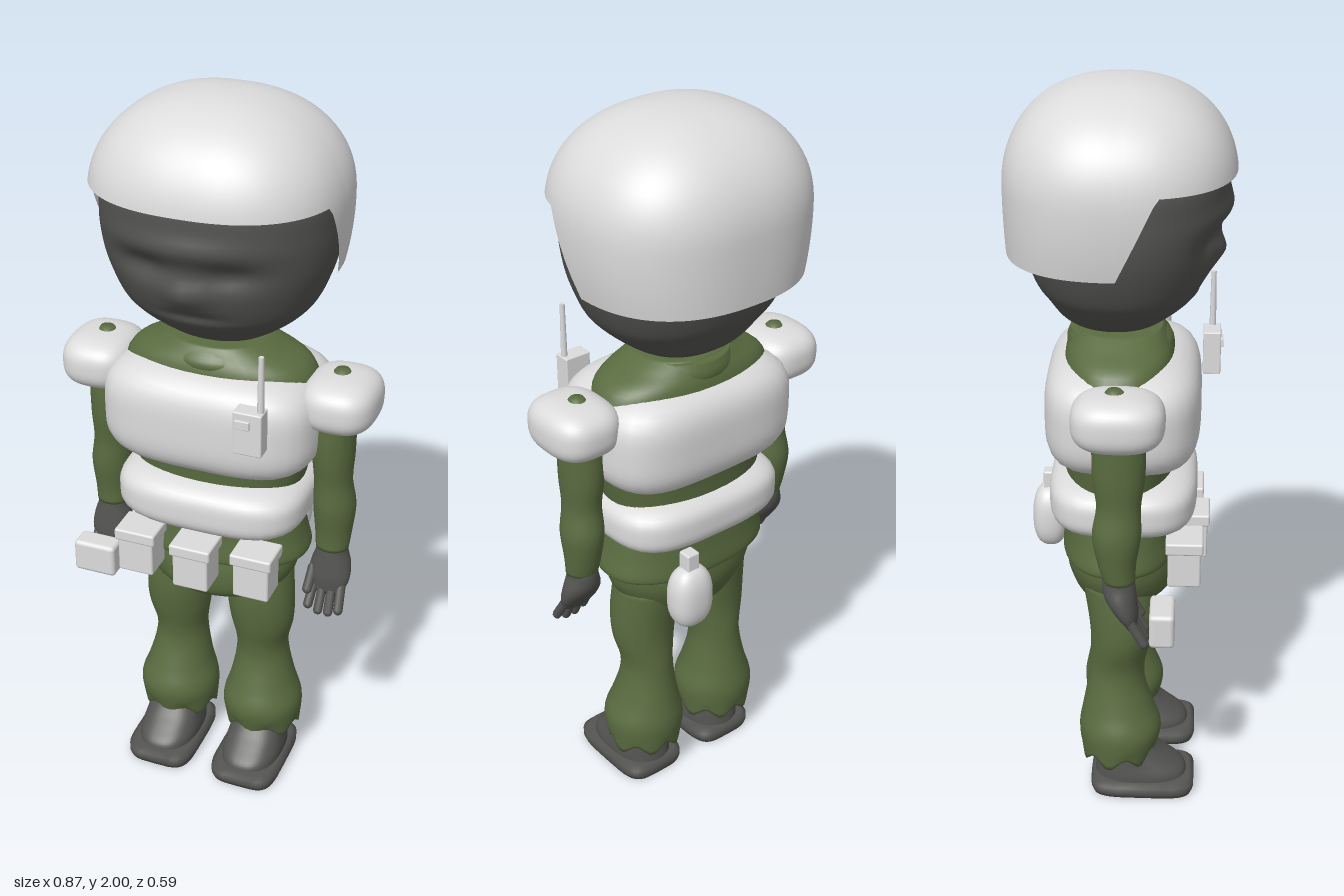
import * as THREE from 'three';
import { mergeVertices } from 'three/addons/utils/BufferGeometryUtils.js';
import { RoundedBoxGeometry } from 'three/addons/geometries/RoundedBoxGeometry.js';

const mat = (name, color) => {
  const m = new THREE.MeshStandardMaterial({ color });
  m.name = name;
  return m;
};
const power = (v, n) => Math.sign(v) * Math.abs(v) ** (2 / n);

// Closed smooth body through rings [y, radiusX, radiusZ, centreX, centreZ]; n squares off the section
function loft(rings, { n = 2, seg = 40, steps = 5, smooth = true } = {}) {
  const size = new THREE.CatmullRomCurve3(rings.map(r => new THREE.Vector3(r[0], r[1], r[2])), false, 'catmullrom', 0.5);
  const mid = new THREE.CatmullRomCurve3(rings.map(r => new THREE.Vector3(r[3] || 0, r[4] || 0, 0)), false, 'catmullrom', 0.5);
  const rows = (rings.length - 1) * (smooth ? steps : 1), pos = [], idx = [];
  for (let i = 0; i <= rows; i++) {
    const s = size.getPoint(i / rows), c = mid.getPoint(i / rows);
    for (let j = 0; j < seg; j++) {
      const a = j / seg * Math.PI * 2;
      pos.push(c.x + s.y * power(Math.cos(a), n), s.x, c.y + s.z * power(Math.sin(a), n));
    }
  }
  const first = rings[0], last = rings[rings.length - 1], base = (rows + 1) * seg;
  pos.push(first[3] || 0, first[0], first[4] || 0, last[3] || 0, last[0], last[4] || 0);
  for (let j = 0; j < seg; j++) {
    const k = (j + 1) % seg;
    for (let i = 0; i < rows; i++) {
      const a = i * seg + j, b = i * seg + k;
      idx.push(a, a + seg, b, b, a + seg, b + seg);
    }
    idx.push(base, j, k, base + 1, rows * seg + k, rows * seg + j);
  }
  return finish(pos, idx);
}

function finish(pos, idx) {
  const g = new THREE.BufferGeometry();
  g.setAttribute('position', new THREE.Float32BufferAttribute(pos, 3));
  g.setIndex(idx);
  g.computeVertexNormals();
  return g;
}

// Move every vertex by a rule
function reshape(g, rule) {
  const p = g.attributes.position, v = new THREE.Vector3();
  for (let i = 0; i < p.count; i++) {
    rule(v.fromBufferAttribute(p, i));
    p.setXYZ(i, v.x, v.y, v.z);
  }
  g.computeVertexNormals();
  return g;
}

// Cushion shape: a sphere swollen towards a box
function cushion(rx, ry, rz, p) {
  let g = new THREE.SphereGeometry(1, 48, 32);
  g.deleteAttribute('uv');
  g.deleteAttribute('normal');
  g = mergeVertices(g, 1e-4);
  return reshape(g, v => {
    const k = (Math.abs(v.x) ** p + Math.abs(v.y) ** p + Math.abs(v.z) ** p) ** (-1 / p);
    v.set(v.x * k * rx, v.y * k * ry, v.z * k * rz);
  });
}

// Helmet shell: low at the back and sides, cut away over the face
function helmetShell() {
  const seg = 128, rows = 28, pos = [], idx = [];
  for (let i = 0; i <= rows; i++) for (let j = 0; j < seg; j++) {
    const a = j / seg * Math.PI * 2, x = 0.325 * power(Math.cos(a), 2.4), z = 0.296 * power(Math.sin(a), 2.4);
    const edge = 1.57 + 0.21 * THREE.MathUtils.clamp(z / 0.1, 0, 1);
    const y = edge + (2 - edge) * Math.sin(i / rows * Math.PI / 2);
    const up = Math.min(1, Math.max(0, (y - 1.74) / 0.26)), down = Math.max(0, (1.74 - y) / 0.17);
    const r = y > 1.74 ? Math.max(0, 1 - up ** 2.2) ** (1 / 2.2) : 1;
    pos.push(x * r * (1 - 0.06 * down * down), y, z * r * (1 - 0.02 * down * down));
  }
  for (let i = 0; i < rows; i++) for (let j = 0; j < seg; j++) {
    const a = i * seg + j, b = i * seg + (j + 1) % seg;
    idx.push(a, a + seg, b, b, a + seg, b + seg);
  }
  return finish(pos, idx);
}

export function createModel() {
  const model = new THREE.Group();
  model.name = 'soldier';
  const white = mat('white armour', 0xdcdcdc), green = mat('olive cloth', 0x5a6c40), dark = mat('dark grey', 0x545452);
  white.side = THREE.DoubleSide;
  const add = (name, geo, m, x = 0, y = 0, z = 0, parent = model) => {
    const mesh = new THREE.Mesh(geo, m);
    mesh.name = name;
    mesh.position.set(x, y, z);
    parent.add(mesh);
    return mesh;
  };
  const box = (name, w, h, d, x, y, z, r = 0.006) =>
    add(name, new RoundedBoxGeometry(w, h, d, 2, r), white, x, y, z);
  const rod = (name, a, b, r, m) => {
    const from = new THREE.Vector3(...a), to = new THREE.Vector3(...b), dir = to.clone().sub(from);
    const mesh = add(name, new THREE.CapsuleGeometry(r, dir.length(), 4, 10), m);
    mesh.position.copy(from).add(to).multiplyScalar(0.5);
    mesh.quaternion.setFromUnitVectors(new THREE.Vector3(0, 1, 0), dir.normalize());
  };

  // Head with brow, eye sockets, nose and mouth pressed into the front
  const features = [[0, 1.69, 0.018, 0.19, 0.035], [0.11, 1.62, -0.026, 0.075, 0.035], [-0.11, 1.62, -0.026, 0.075, 0.035],
    [0, 1.56, 0.025, 0.05, 0.04], [0, 1.49, -0.01, 0.08, 0.015]];
  add('head', reshape(loft([[1.355, 0.04, 0.05, 0, -0.01], [1.37, 0.11, 0.1, 0, -0.01], [1.4, 0.165, 0.145, 0, -0.01],
    [1.45, 0.225, 0.19], [1.5, 0.262, 0.222], [1.6, 0.297, 0.255], [1.7, 0.305, 0.269], [1.8, 0.29, 0.268],
    [1.9, 0.2, 0.18], [1.95, 0.08, 0.08]], { n: 2.2, seg: 72, steps: 8 }), v => {
    if (v.z <= 0) return;
    const front = Math.min(1, v.z / 0.12);
    for (const [x, y, amount, w, h] of features)
      v.z += front * amount * Math.exp(-(((v.x - x) / w) ** 2) - ((v.y - y) / h) ** 2);
  }), dark);
  add('helmet', helmetShell(), white);

  // Jacket, collar and seat of the trousers
  add('jacket', loft([[0.72, 0.235, 0.145], [0.735, 0.255, 0.156], [0.8, 0.24, 0.15], [0.9, 0.225, 0.145], [1, 0.242, 0.15],
    [1.1, 0.26, 0.16], [1.22, 0.27, 0.15], [1.295, 0.245, 0.142], [1.335, 0.17, 0.125], [1.36, 0.12, 0.11]], { n: 2.3 }), green);
  add('collar', loft([[1.28, 0.17, 0.13], [1.32, 0.15, 0.14], [1.355, 0.125, 0.12, 0, -0.01]]), green);
  add('trouserSeat', loft([[0.565, 0.08, 0.07], [0.585, 0.14, 0.11], [0.62, 0.19, 0.14, 0, 0.01], [0.68, 0.222, 0.152, 0, 0.005],
    [0.75, 0.225, 0.145]]), green);

  // Padded armour
  add('chestArmour', cushion(0.295, 0.15, 0.205, 3.6), white, 0, 1.153, 0.01);
  add('bellyArmour', cushion(0.262, 0.082, 0.198, 3.4), white, 0, 0.902, 0.011);

  for (const s of [1, -1]) {
    const side = s > 0 ? 'left' : 'right';
    // Arms
    add(side + 'ShoulderPad', cushion(0.1, 0.073, 0.118, 2.8), white, s * 0.335, 1.226, 0.009);
    add(side + 'Sleeve', loft([[0.77, 0.045, 0.042, s * 0.325, 0.012], [0.82, 0.05, 0.05, s * 0.325, 0.006],
      [0.9, 0.057, 0.063, s * 0.325, 0.005], [0.98, 0.051, 0.057, s * 0.32, 0.01], [1.06, 0.056, 0.067, s * 0.318, 0.01],
      [1.15, 0.058, 0.068, s * 0.317, 0.01], [1.25, 0.05, 0.06, s * 0.325, 0.005], [1.305, 0.018, 0.018, s * 0.33, 0]]), green);
    // Hands
    add(side + 'Hand', loft([[0.64, 0.042, 0.016, s * 0.325, 0.045], [0.68, 0.057, 0.032, s * 0.325, 0.03],
      [0.72, 0.055, 0.042, s * 0.325, 0.016], [0.76, 0.043, 0.043, s * 0.325, 0.01], [0.795, 0.04, 0.038, s * 0.325, 0.01]]), dark);
    for (let i = 0; i < 4; i++) {
      const f = (i - 1.5) / 1.5;
      rod(side + 'Finger', [s * 0.325 + f * 0.038, 0.665, 0.04], [s * 0.325 + f * 0.043, 0.59 + 0.014 * f * f, 0.077], 0.013, dark);
    }
    rod(side + 'Thumb', [s * 0.28, 0.7, 0.035], [s * 0.275, 0.645, 0.065], 0.014, dark);
    // Trouser legs with ragged cuffs
    add(side + 'TrouserLeg', reshape(loft([[0.115, 0.107, 0.1, s * 0.13], [0.17, 0.114, 0.113, s * 0.13, 0.005],
      [0.21, 0.111, 0.113, s * 0.13, 0.005], [0.265, 0.093, 0.098, s * 0.128], [0.34, 0.077, 0.08, s * 0.125, -0.005],
      [0.4, 0.074, 0.077, s * 0.124, -0.003], [0.48, 0.09, 0.084, s * 0.126, 0.008], [0.56, 0.095, 0.093, s * 0.122, 0.01],
      [0.66, 0.092, 0.1, s * 0.115]]), v => {
      const a = Math.atan2(v.z, v.x - s * 0.13);
      if (v.y < 0.16) v.y += (0.16 - v.y) / 0.045 * 0.016 * Math.sin(7 * a);
    }), green);
    // Boots
    add(side + 'BootSole', loft([[0, 0.094, 0.141, s * 0.13, 0.07], [0.014, 0.099, 0.146, s * 0.13, 0.07],
      [0.034, 0.099, 0.146, s * 0.13, 0.07], [0.045, 0.085, 0.132, s * 0.13, 0.07]], { n: 4.5, smooth: false }), dark);
    add(side + 'Boot', loft([[0.03, 0.085, 0.132, s * 0.13, 0.065], [0.06, 0.085, 0.125, s * 0.13, 0.062],
      [0.09, 0.08, 0.104, s * 0.13, 0.045], [0.12, 0.075, 0.083, s * 0.13, 0.028], [0.18, 0.06, 0.06, s * 0.13, 0]],
      { n: 2.4 }), dark);
  }

  // Belt pouches with lids
  for (const [x, z] of [[-0.166, 0.178], [0, 0.195], [0.166, 0.178]]) {
    box('pouch', 0.1, 0.115, 0.088, x, 0.745, z);
    box('pouchLid', 0.116, 0.034, 0.1, x, 0.803, z);
  }

  // Radio on the chest
  box('radio', 0.077, 0.12, 0.048, 0.169, 1.219, 0.241, 0.004);
  box('radioDial', 0.04, 0.024, 0.012, 0.157, 1.247, 0.266, 0.002);
  add('radioAntenna', new THREE.CylinderGeometry(0.007, 0.009, 0.16, 10), white, 0.197, 1.352, 0.242);

  // Box held in the right hand
  box('handheldBox', 0.122, 0.096, 0.066, -0.325, 0.647, 0.124, 0.012);

  // Canteen on the back of the belt
  add('canteen', cushion(0.062, 0.093, 0.05, 2.5), white, 0.13, 0.722, -0.205);
  box('canteenCap', 0.04, 0.06, 0.04, 0.13, 0.83, -0.203);

  return model;
}
